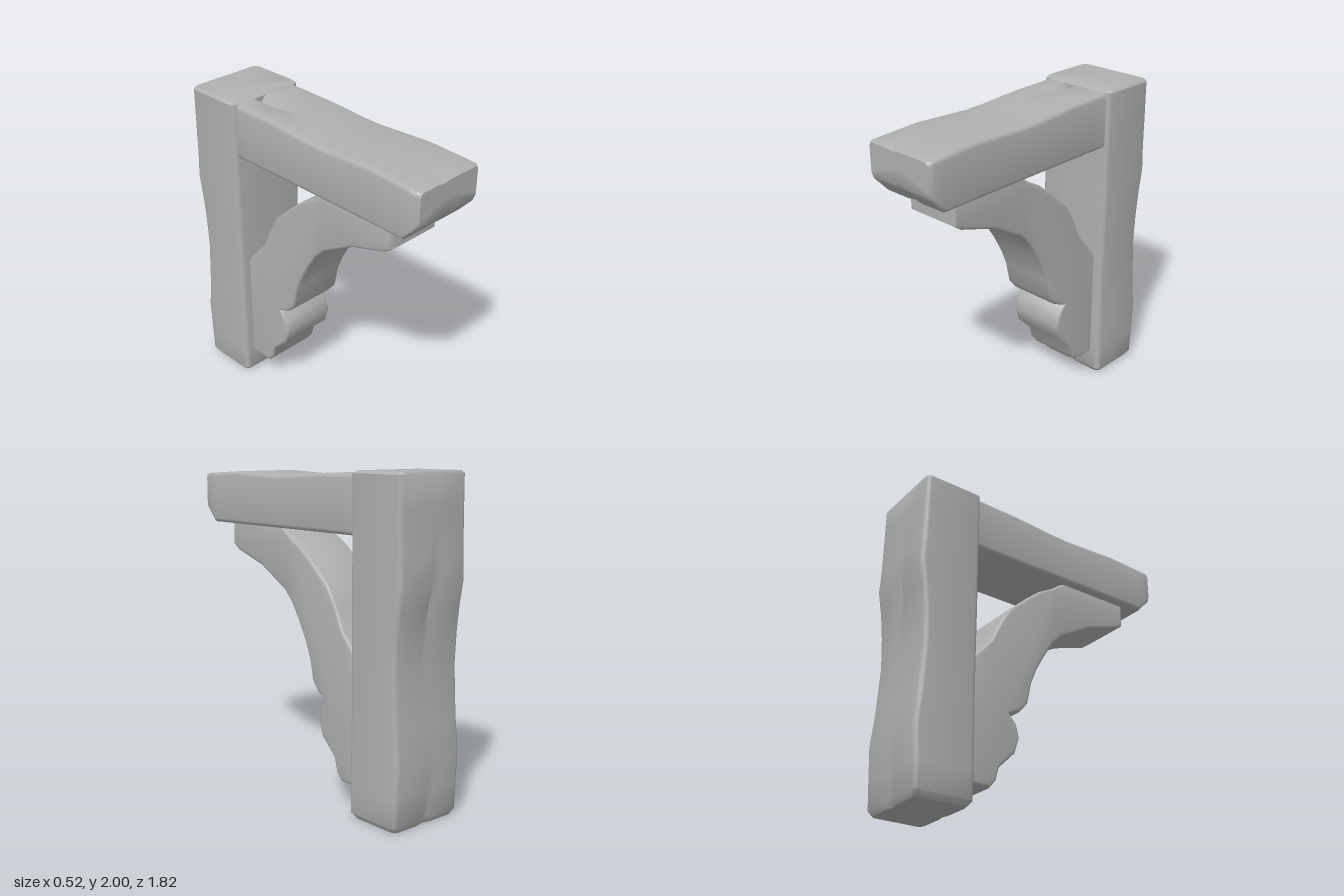
import * as THREE from 'three';
import { toCreasedNormals } from 'three/addons/utils/BufferGeometryUtils.js';

const wood = new THREE.MeshStandardMaterial({ color: 0xb0b0b0 });
wood.name = 'plain grey wood';

// Rounded rectangle section, counterclockwise, with a V groove in the low and high sides
function section(w, lo, hi, r, grooveX, dLo, dHi) {
  const pts = [];
  const corner = (x, y, start) => {
    for (let k = 0; k <= 3; k++) {
      const a = start + (k / 3) * Math.PI / 2;
      pts.push([x + r * Math.cos(a), y + r * Math.sin(a)]);
    }
  };
  const g = 0.045;
  corner(w - r, hi - r, 0);
  pts.push([grooveX + g, hi], [grooveX, hi - dHi], [grooveX - g, hi]);
  corner(-w + r, hi - r, Math.PI / 2);
  corner(-w + r, lo + r, Math.PI);
  pts.push([-g, lo], [0, lo + dLo], [g, lo]);
  corner(w - r, lo + r, Math.PI * 1.5);
  return pts;
}

// Timber lofted along z; station = [z, halfWidth, low, high, grooveLow, grooveHigh]
function timber(name, stations, radius, grooveX) {
  const pos = [], index = [];
  const rings = stations.map(([, w, lo, hi, a, b]) => section(w, lo, hi, radius, grooveX, a, b));
  const n = rings[0].length, last = rings.length - 1;
  rings.forEach((ring, i) => ring.forEach(([x, y]) => pos.push(x, y, stations[i][0])));
  for (let i = 0; i < last; i++) {
    for (let j = 0; j < n; j++) {
      const a = i * n + j, b = i * n + (j + 1) % n;
      index.push(a, b, b + n, a, b + n, a + n);
    }
  }
  // End caps
  for (const i of [0, last]) {
    const c = pos.length / 3;
    pos.push(0, (stations[i][2] + stations[i][3]) / 2, stations[i][0]);
    for (let j = 0; j < n; j++) {
      const a = i * n + j, b = i * n + (j + 1) % n;
      if (i === 0) index.push(c, b, a);
      else index.push(c, a, b);
    }
  }
  const geo = new THREE.BufferGeometry();
  geo.setAttribute('position', new THREE.Float32BufferAttribute(pos, 3));
  geo.setIndex(index);
  const mesh = new THREE.Mesh(toCreasedNormals(geo, 0.7), wood);
  mesh.name = name;
  return mesh;
}

export function createModel() {
  const group = new THREE.Group();
  group.name = 'timberBracket';

  // Upright post, lofted along z and then stood up (its high side becomes the back)
  const post = timber('post', [
    [0, 0.235, 0.54, 0.865, 0.01, 0.015],
    [0.035, 0.26, 0.512, 0.882, 0.015, 0.015],
    [0.2, 0.26, 0.51, 0.89, 0.012, 0.01],
    [0.4, 0.258, 0.51, 0.9, 0, 0],
    [0.6, 0.255, 0.51, 0.88, 0, 0],
    [0.9, 0.255, 0.51, 0.862, 0, 0],
    [1.1, 0.257, 0.51, 0.87, 0, 0.008],
    [1.25, 0.258, 0.51, 0.885, 0, 0.02],
    [1.4, 0.258, 0.51, 0.91, 0, 0.015],
    [1.55, 0.258, 0.51, 0.902, 0, 0],
    [1.8, 0.26, 0.51, 0.897, 0, 0],
    [1.985, 0.26, 0.51, 0.895, 0, 0],
    [2, 0.245, 0.535, 0.885, 0, 0],
  ], 0.03, 0);
  post.rotation.x = -Math.PI / 2;

  // Horizontal beam with a chamfered nose and a split along its top
  const beam = timber('beam', [
    [-0.53, 0.235, 1.64, 1.985, 0, 0.05],
    [-0.4, 0.235, 1.64, 1.982, 0, 0.035],
    [-0.24, 0.235, 1.64, 1.979, 0, 0.006],
    [-0.1, 0.235, 1.64, 1.972, 0, 0],
    [0.05, 0.237, 1.64, 1.96, 0, 0],
    [0.2, 0.238, 1.64, 1.955, 0, 0],
    [0.4, 0.24, 1.64, 1.963, 0, 0],
    [0.57, 0.242, 1.64, 1.97, 0, 0],
    [0.81, 0.246, 1.64, 1.957, 0.01, 0.004],
    [0.89, 0.246, 1.725, 1.952, 0.01, 0.006],
    [0.91, 0.23, 1.755, 1.945, 0.01, 0.006],
  ], 0.025, -0.05);

  // Curved brace: side profile as [z, y], extruded across the width
  const lower = [
    [0.69, 1.66], [0.69, 1.5], [0.64, 1.465], [0.4, 1.39], [0.17, 1.26], [0.1, 1.19],
    [0.03, 1.08], [-0.03, 0.97], [-0.07, 0.87], [-0.1, 0.73], [-0.15, 0.67], [-0.23, 0.635],
  ];
  const scroll = [
    [-0.18, 0.58], [-0.16, 0.5], [-0.19, 0.4], [-0.3, 0.29], [-0.32, 0.21], [-0.36, 0.16],
  ];
  const upper = [
    [-0.55, 0.16], [-0.55, 0.87], [-0.51, 0.91], [-0.37, 1.07], [-0.3, 1.22], [-0.24, 1.32],
    [-0.12, 1.43], [0, 1.53], [0.1, 1.585], [0.2, 1.66],
  ];
  const outline = [...lower, ...scroll, ...upper].map(([z, y]) => new THREE.Vector2(z, y));
  const bevel = 0.018, half = 0.188;
  const braceGeo = new THREE.ExtrudeGeometry(new THREE.Shape(outline), {
    depth: 2 * (half - bevel), bevelEnabled: true, bevelThickness: bevel,
    bevelSize: bevel, bevelOffset: -bevel, bevelSegments: 3,
  });
  braceGeo.translate(0, 0, bevel - half);
  braceGeo.rotateY(-Math.PI / 2);
  const brace = new THREE.Mesh(toCreasedNormals(braceGeo, 0.7), wood);
  brace.name = 'curvedBrace';

  group.add(post, beam, brace);
  return group;
}
